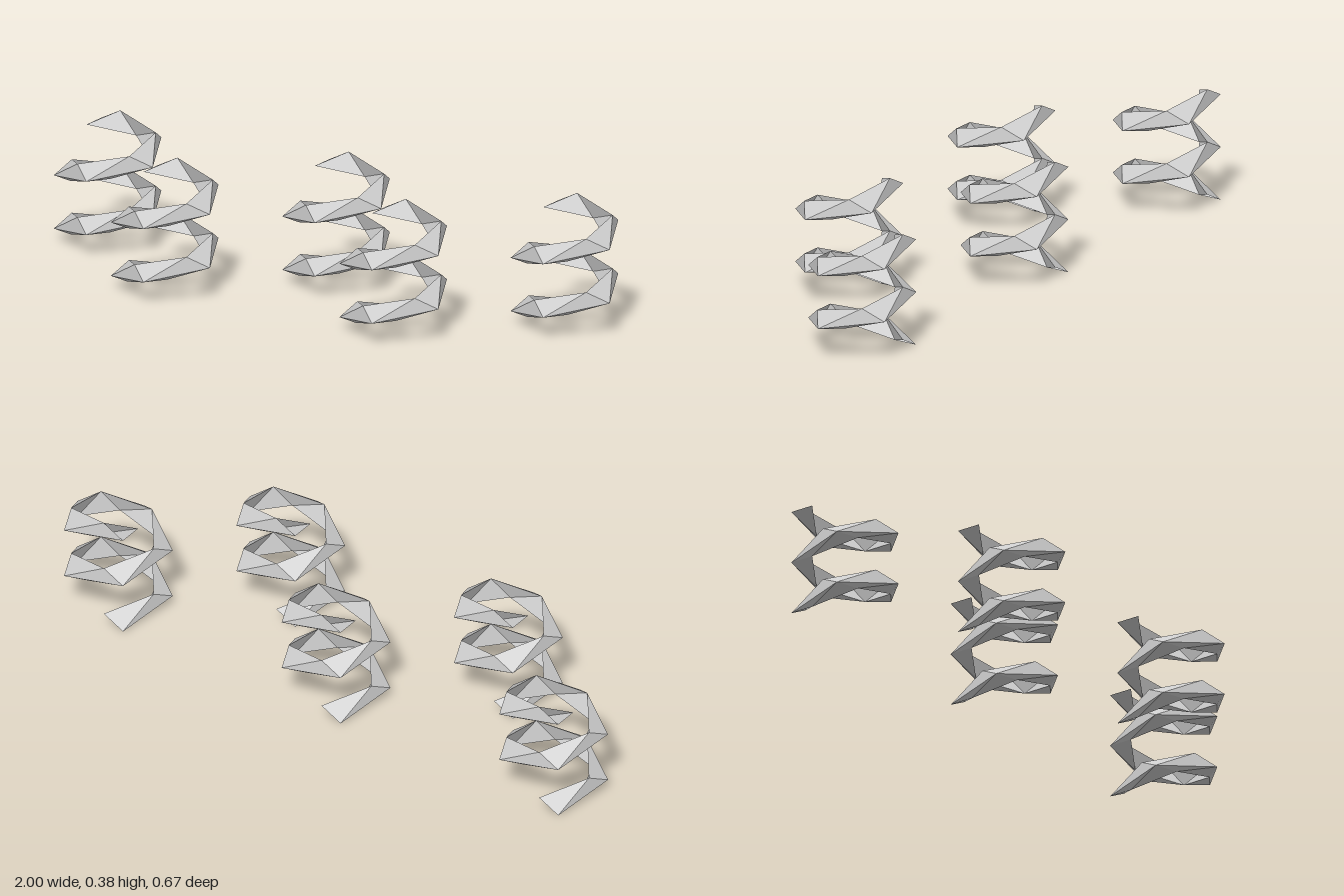
import * as THREE from 'three';

const SEGMENTS = 10;           // two turns, five segments each
const STEP = (Math.PI * 2) / 5;
const RISE = 0.0345;

// Triangular section at the start of the coil, relative to the coil axis
const outer = [-0.1205, 0, -0.131];
const top = [-0.0475, 0.037, -0.131];
const inner = [-0.1205, 0, -0.051];

// Section corner turned and lifted to ring k
function ringPoint([x, y, z], k) {
  const a = -STEP * k, c = Math.cos(a), s = Math.sin(a);
  return [x * c - z * s, y + RISE * k, x * s + z * c];
}

// Open-ended faceted coil swept from the triangular section
function coilGeometry() {
  const pos = [];
  const strip = (a, b, flip) => {
    for (let k = 0; k < SEGMENTS; k++) {
      const a0 = ringPoint(a, k), a1 = ringPoint(a, k + 1);
      const b0 = ringPoint(b, k), b1 = ringPoint(b, k + 1);
      const tris = flip ? [a0, b1, a1, a0, b0, b1] : [a0, a1, b1, a0, b1, b0];
      tris.forEach((p) => pos.push(...p));
    }
  };
  strip(outer, top, false);    // sloping outer face
  strip(inner, top, true);     // inward face
  strip(inner, outer, false);  // underside
  const geo = new THREE.BufferGeometry();
  geo.setAttribute('position', new THREE.Float32BufferAttribute(pos, 3));
  geo.computeVertexNormals();
  return geo;
}

export function createModel() {
  const group = new THREE.Group();
  group.name = 'springs';
  const material = new THREE.MeshStandardMaterial({
    color: 0xcccccc, flatShading: true, side: THREE.DoubleSide,
  });
  const geometry = coilGeometry();

  // Five coils in a zigzag: three at the back, two in front
  for (let i = 0; i < 5; i++) {
    const coil = new THREE.Mesh(geometry, material);
    coil.name = `spring${i + 1}`;
    coil.position.set(-0.006 + (i - 2) * 0.416, 0, i % 2 ? 0.156 : -0.178);
    group.add(coil);
  }
  return group;
}
